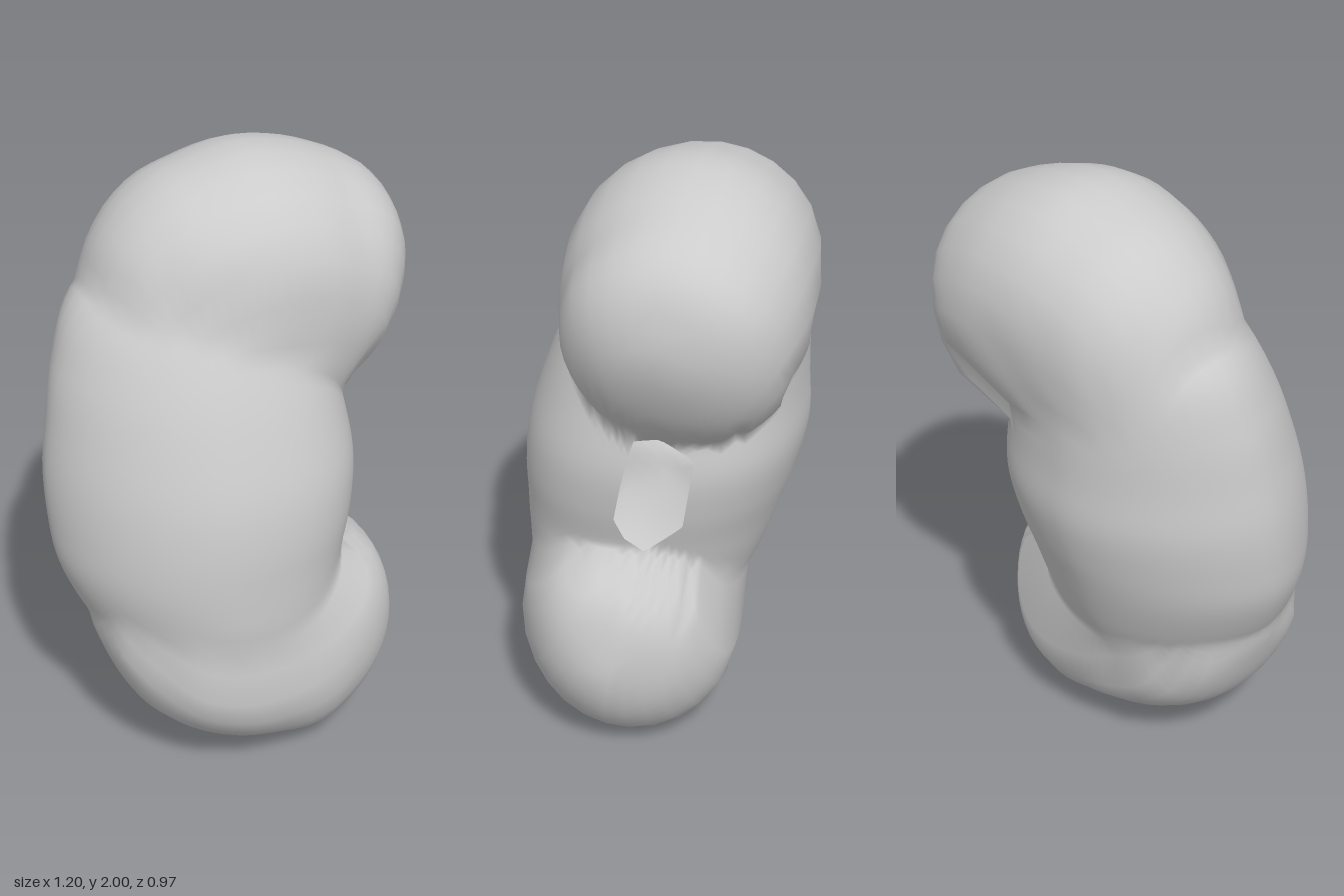
import * as THREE from 'three';
import { mergeVertices } from 'three/addons/utils/BufferGeometryUtils.js';

const AROUND = 72, ALONG = 64, BLEND = 0.04;

// A lobe as a smooth stack of elliptical sections. Row: [t, u0, u1, v0, v1],
// the position along the axis and the extents across it.
const stack = (rows) => ({
  start: rows[0][0],
  end: rows[rows.length - 1][0],
  section: new THREE.CubicInterpolant(rows.map((r) => r[0]), rows.flatMap((r) => r.slice(1)), 4),
});

// Middle body, leaning back towards the top: t = y, u = x, v = z
const body = stack([
  [0.30, -0.05, 0.05, 0.05, 0.15],
  [0.40, -0.36, 0.20, -0.18, 0.36],
  [0.55, -0.485, 0.28, -0.28, 0.465],
  [0.65, -0.54, 0.31, -0.32, 0.475],
  [0.77, -0.585, 0.335, -0.36, 0.477],
  [0.90, -0.60, 0.365, -0.40, 0.475],
  [1.05, -0.60, 0.38, -0.43, 0.455],
  [1.20, -0.58, 0.36, -0.425, 0.41],
  [1.40, -0.54, 0.32, -0.42, 0.33],
  [1.58, -0.465, 0.26, -0.40, 0.23],
  [1.64, -0.40, 0.20, -0.36, 0.18],
  [1.71, -0.28, 0.10, -0.28, 0.10],
  [1.76, -0.15, -0.05, -0.15, -0.05],
]);

// Upper lobe, curling towards +x: t = x, u = y, v = z
const upperLobe = stack([
  [-0.42, 1.54, 1.56, -0.13, -0.11],
  [-0.40, 1.44, 1.68, -0.22, 0.00],
  [-0.35, 1.37, 1.78, -0.31, 0.10],
  [-0.23, 1.31, 1.90, -0.41, 0.19],
  [-0.06, 1.28, 1.97, -0.46, 0.26],
  [0.10, 1.25, 2.00, -0.48, 0.28],
  [0.26, 1.22, 1.975, -0.485, 0.27],
  [0.37, 1.20, 1.935, -0.465, 0.24],
  [0.47, 1.29, 1.885, -0.42, 0.205],
  [0.54, 1.41, 1.82, -0.34, 0.13],
  [0.58, 1.51, 1.73, -0.23, 0.04],
  [0.60, 1.59, 1.61, -0.09, -0.07],
]);

// Lower lobe, set further forward: t = x, u = y, v = z
const lowerLobe = stack([
  [-0.50, 0.54, 0.56, 0.11, 0.13],
  [-0.47, 0.45, 0.62, 0.00, 0.25],
  [-0.42, 0.33, 0.65, -0.09, 0.32],
  [-0.36, 0.235, 0.66, -0.14, 0.37],
  [-0.26, 0.15, 0.66, -0.20, 0.44],
  [-0.10, 0.07, 0.66, -0.24, 0.478],
  [0.04, 0.03, 0.68, -0.26, 0.475],
  [0.20, 0.00, 0.71, -0.265, 0.45],
  [0.32, 0.04, 0.73, -0.24, 0.40],
  [0.41, 0.11, 0.69, -0.18, 0.34],
  [0.48, 0.21, 0.60, -0.09, 0.26],
  [0.515, 0.30, 0.48, 0.02, 0.18],
  [0.53, 0.37, 0.39, 0.09, 0.11],
]);

// Approximate signed distance to a stack; the exponents make the section
// pointier or squarer on its -u and +u sides.
function distance({ start, end, section }, t, u, v, powNeg, powPos) {
  const tc = THREE.MathUtils.clamp(t, start, end);
  const [u0, u1, v0, v1] = section.evaluate(tc);
  const ru = Math.max((u1 - u0) / 2, 0.005), rv = Math.max((v1 - v0) / 2, 0.005);
  const du = (u - (u0 + u1) / 2) / ru, dv = (v - (v0 + v1) / 2) / rv;
  const p = du < 0 ? powNeg : powPos;
  const q = (Math.abs(du) ** p + Math.abs(dv) ** p) ** (1 / p);
  return (q - 1) * Math.min(ru, rv) + Math.abs(t - tc);
}

// Union with a soft fillet where the lobes meet
function blend(a, b) {
  const h = Math.max(BLEND - Math.abs(a - b), 0) / BLEND;
  return Math.min(a, b) - h * h * BLEND / 4;
}

function field({ x, y, z }) {
  const middle = distance(body, y, x, z, 1.75, 2.4);
  const upper = distance(upperLobe, x, y, z, 2.3, 2);
  const lower = distance(lowerLobe, x, y, z, 2, 2.4);
  return blend(blend(middle, upper), lower);
}

// Outermost surface point along a ray, searched from outside inwards
function surfacePoint(center, dir) {
  const at = (r) => center.clone().addScaledVector(dir, r);
  const step = 0.01;
  let r = 1.5, before = field(at(r));
  while (r > step) {
    const now = field(at(r - step));
    if (now <= 0) return at(r - step * before / (before - now));
    before = now;
    r -= step;
  }
  return at(r);
}

// Corners of the hilum opening as (y, z), relative to the centre
const center = new THREE.Vector3(-0.27, 0.965, -0.035);
const rimCorners = [
  [1.165, 0.02], [0.88, 0.085], [0.80, 0.06], [0.75, 0.0],
  [0.87, -0.125], [1.12, -0.16], [1.185, -0.06],
].map(([y, z]) => new THREE.Vector2(y - center.y, z - center.z));

// Distance from the middle of the opening to its rim at an angle
function rimRadius(angle) {
  const dir = new THREE.Vector2(Math.cos(angle), Math.sin(angle));
  const hits = rimCorners.map((p, i) => {
    const edge = rimCorners[(i + 1) % rimCorners.length].clone().sub(p);
    return p.cross(edge) / dir.cross(edge);
  });
  return Math.min(...hits.filter((r) => r > 0));
}

export function createModel() {
  const positions = [], index = [];

  // Rings run from the rim of the hilum opening on +x to the far side on -x
  for (let j = 0; j <= ALONG; j++) {
    for (let i = 0; i <= AROUND; i++) {
      const a = (i % AROUND) / AROUND * Math.PI * 2;
      const phi = THREE.MathUtils.lerp(Math.atan2(rimRadius(a), 0.61), Math.PI, j / ALONG);
      const dir = new THREE.Vector3(
        Math.cos(phi), Math.sin(phi) * Math.cos(a), Math.sin(phi) * Math.sin(a));
      positions.push(...surfacePoint(center, dir).toArray());
    }
  }
  for (let j = 0; j < ALONG; j++) {
    for (let i = 0; i < AROUND; i++) {
      const a = j * (AROUND + 1) + i, b = a + AROUND + 1;
      index.push(a, b, a + 1, a + 1, b, b + 1);
    }
  }

  let geometry = new THREE.BufferGeometry();
  geometry.setAttribute('position', new THREE.Float32BufferAttribute(positions, 3));
  geometry.setIndex(index);
  geometry = mergeVertices(geometry, 1e-4);
  geometry.computeVertexNormals();

  const shell = new THREE.Mesh(geometry,
    new THREE.MeshStandardMaterial({ color: 0xcccccc, side: THREE.DoubleSide }));
  shell.name = 'kidneyShell';
  const group = new THREE.Group();
  group.name = 'kidney';
  group.add(shell);
  return group;
}
